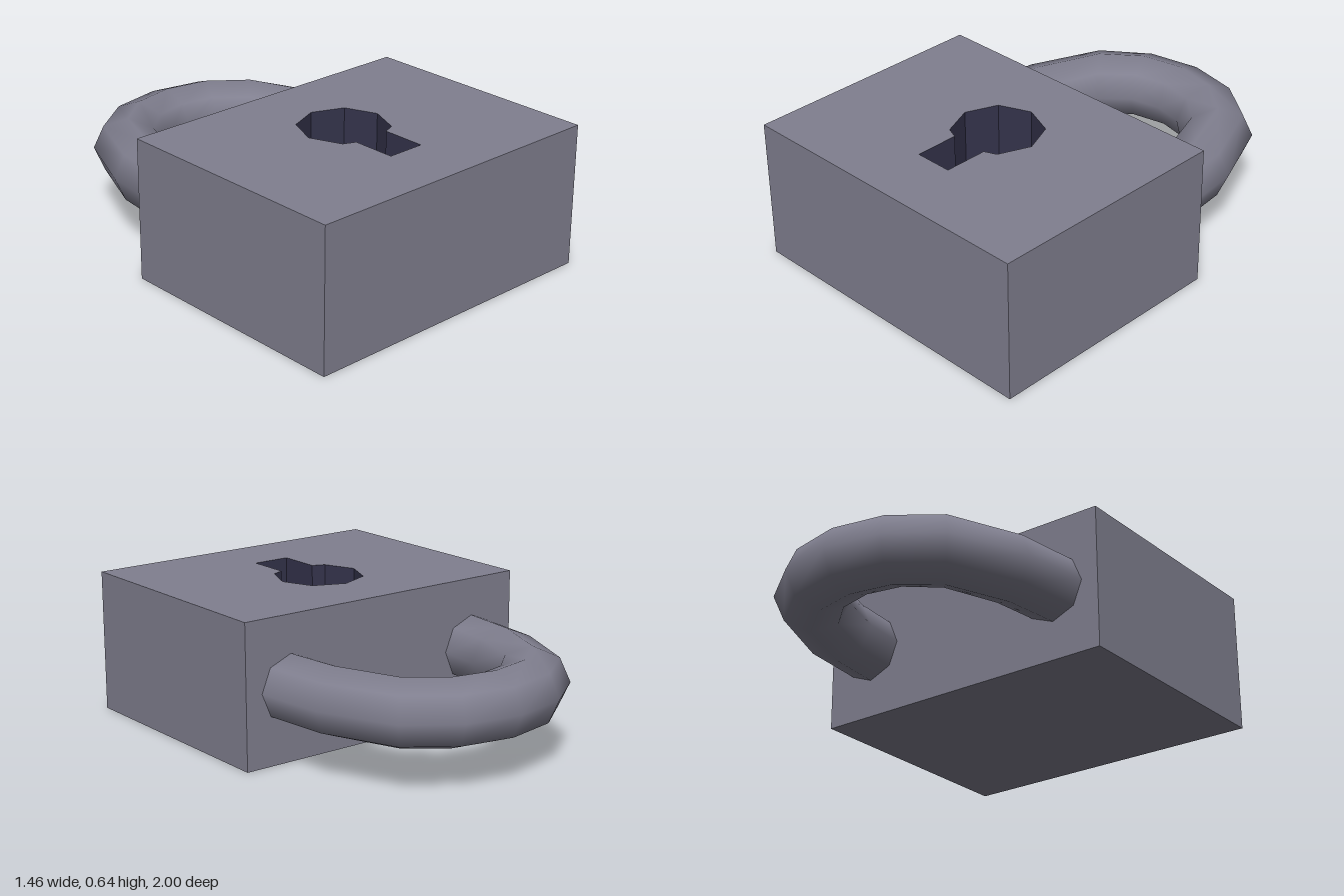
import * as THREE from 'three';

const W = 0.73, H = 0.645, BACK = -0.13, FRONT = 1, PIT = 0.4;

// Keyhole outline: octagon joined to a straight slot (shape y = -z)
function keyholePoints() {
  const cz = 0.34, r = 0.2, slot = 0.087, end = 0.705;
  const side = [[0, cz - r], [0.142, cz - 0.142], [r, cz], [0.142, cz + 0.142], [slot, cz + 0.165], [slot, end]];
  const mirrored = side.slice(1).reverse().map(([x, z]) => [-x, z]);
  return [...side, ...mirrored].map(([x, z]) => new THREE.Vector2(x, -z));
}

// Curved bow made of eight-sided rings between outer and inner outlines
function shackleGeometry() {
  const outer = [[0.65, BACK], [0.615, -0.45], [0.47, -0.795], [0.255, -0.95], [0, -1]];
  const inner = [[0.35, BACK], [0.33, -0.325], [0.255, -0.55], [0.14, -0.655], [0, -0.685]];
  const full = (half) => [...half, ...half.slice(0, -1).reverse().map(([x, z]) => [-x, z])];
  const o = full(outer), n = full(inner), sides = 8;
  const positions = [], index = [];
  o.forEach(([ox, oz], i) => {
    const [ix, iz] = n[i];
    for (let j = 0; j < sides; j++) {
      const a = (j / sides) * Math.PI * 2, c = Math.cos(a) / 2;
      positions.push((ox + ix) / 2 + (ox - ix) * c, 0.325 + 0.15 * Math.sin(a), (oz + iz) / 2 + (oz - iz) * c);
      if (i < o.length - 1) {
        const k = (j + 1) % sides, p = i * sides, q = p + sides;
        index.push(p + j, q + j, q + k, p + j, q + k, p + k);
      }
    }
  });
  const g = new THREE.BufferGeometry();
  g.setAttribute('position', new THREE.Float32BufferAttribute(positions, 3));
  g.setIndex(index);
  g.computeVertexNormals();
  return g;
}

// Inward-facing walls and floor of the keyhole, open at the top
function pitGeometry() {
  const g = new THREE.ExtrudeGeometry(new THREE.Shape(keyholePoints()), { depth: PIT, bevelEnabled: false });
  const caps = g.groups[0].count, index = [];
  for (let i = 0; i < g.attributes.position.count; i += 3) {
    if (i >= caps / 2 && i < caps) continue;
    index.push(i, i + 2, i + 1);
  }
  g.setIndex(index);
  g.clearGroups();
  g.rotateX(-Math.PI / 2).translate(0, H - PIT, 0);
  g.computeVertexNormals();
  return g;
}

export function createModel() {
  const group = new THREE.Group();
  const metal = new THREE.MeshStandardMaterial({ color: 0x807f8f });
  metal.name = 'grey metal';
  const dark = new THREE.MeshStandardMaterial({ color: 0x34334b });
  dark.name = 'dark keyhole';
  const add = (name, geometry, material) => {
    const mesh = new THREE.Mesh(geometry, material);
    mesh.name = name;
    group.add(mesh);
  };

  // Body sides and underside: a box without its top face
  const box = new THREE.BoxGeometry(2 * W, H, FRONT - BACK).translate(0, H / 2, (FRONT + BACK) / 2);
  const faces = Array.from(box.index.array);
  faces.splice(12, 6);
  box.setIndex(faces);
  box.clearGroups();
  add('body', box, metal);

  // Face plate pierced by the keyhole
  const plate = new THREE.Shape([[-W, -FRONT], [W, -FRONT], [W, -BACK], [-W, -BACK]].map((p) => new THREE.Vector2(...p)));
  plate.holes.push(new THREE.Path(keyholePoints()));
  add('keyholeFace', new THREE.ShapeGeometry(plate).rotateX(-Math.PI / 2).translate(0, H, 0), metal);

  add('keyhole', pitGeometry(), dark);
  add('shackle', shackleGeometry(), metal);
  return group;
}
